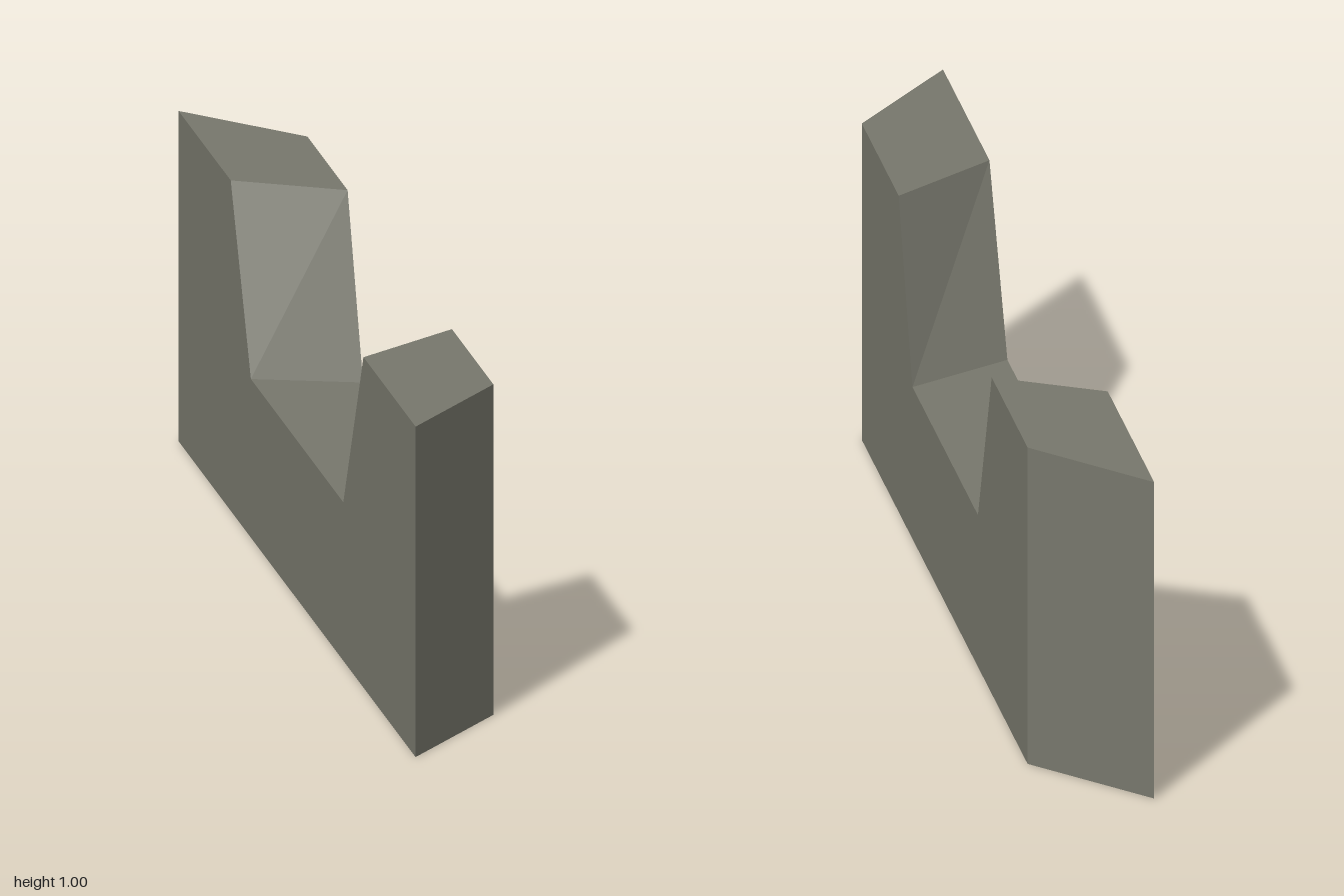
import * as THREE from 'three';

// Notched wall: front and back outlines, joined by flat sides
const frontX = [-1, 1, 1, 0.56, 0.39, -0.39, -0.56, -1];
const backX = [-0.57, 1, 1, 0.65, 0.52, -0.1, -0.23, -0.57];
const heights = [0, 0, 1, 1, 0.48, 0.48, 1, 1];
const backOffset = -0.43;

function loftWall() {
  const front = frontX.map((x, i) => new THREE.Vector3(x, heights[i], x));
  const back = backX.map((x, i) => new THREE.Vector3(x, heights[i], x + backOffset));
  const points = [];
  const tri = (a, b, c) => points.push(a, b, c);

  // Front and back faces
  const outline = front.map((p) => new THREE.Vector2(p.x, p.y));
  for (const [a, b, c] of THREE.ShapeUtils.triangulateShape(outline, [])) {
    tri(front[a], front[b], front[c]);
    tri(back[c], back[b], back[a]);
  }

  // Base, ends, tops and notch
  front.forEach((p, i) => {
    const j = (i + 1) % front.length;
    tri(p, back[i], back[j]);
    tri(p, back[j], front[j]);
  });

  const geometry = new THREE.BufferGeometry().setFromPoints(points);
  geometry.computeVertexNormals();
  return geometry;
}

export function createModel() {
  const stone = new THREE.MeshStandardMaterial({ color: 0x77776c });
  stone.name = 'grey stone';

  const wall = new THREE.Mesh(loftWall(), stone);
  wall.name = 'notchedWall';

  const model = new THREE.Group();
  model.name = 'diagonalWall';
  model.add(wall);
  return model;
}
